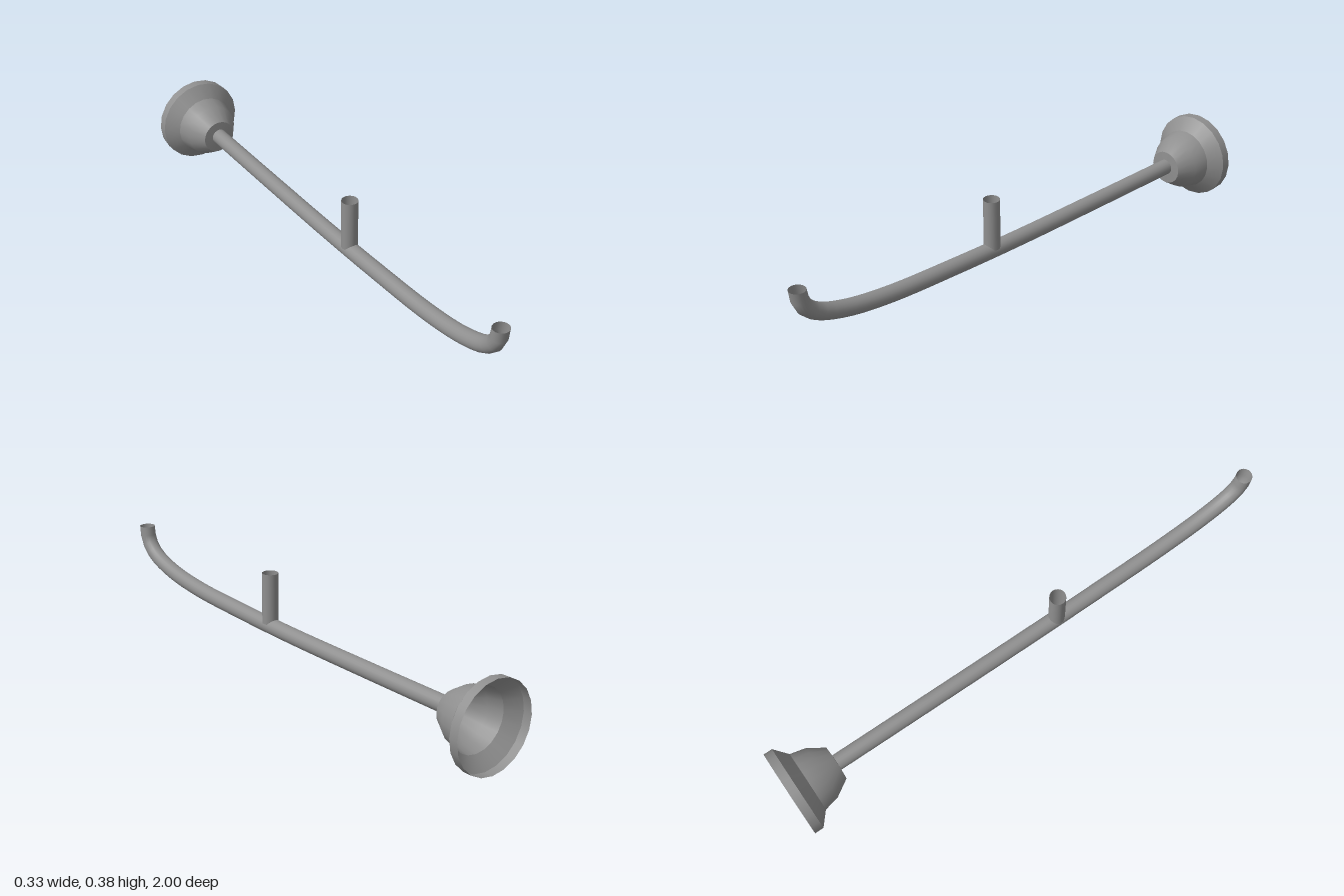
import * as THREE from 'three';

export function createModel() {
  const group = new THREE.Group();
  const metal = new THREE.MeshStandardMaterial({ color: 0x8f8f8f, side: THREE.DoubleSide });
  metal.name = 'grey metal';
  const add = (name, geometry, y = 0, z = 0) => {
    const mesh = new THREE.Mesh(geometry, metal);
    mesh.name = name;
    mesh.position.set(0, y, z);
    group.add(mesh);
  };
  const axisY = 0.165, radius = 0.03;

  // Long open pipe, straight at the wall and curling up at the free end
  const path = new THREE.CatmullRomCurve3([
    [0.168, -0.82], [0.168, -0.4], [0.17, 0], [0.178, 0.3], [0.195, 0.62],
    [0.224, 0.8], [0.265, 0.91], [0.312, 0.957], [0.37, 0.969],
  ].map(([y, z]) => new THREE.Vector3(0, y, z)));
  const pipe = new THREE.TubeGeometry(path, 48, radius, 20, false);
  // Level the mouth of the pipe
  const pos = pipe.attributes.position;
  for (let i = pos.count - 21; i < pos.count; i++) pos.setY(i, 0.37);
  add('pipe', pipe);

  // Upright open branch
  add('branch', new THREE.CylinderGeometry(radius, radius, 0.192, 20, 1, true), 0.281, 0.14);

  // Bell-shaped wall flange, open at the back
  const ring = (profile) => new THREE.LatheGeometry(
    profile.map(([r, z]) => new THREE.Vector2(r, z)), 20).rotateX(Math.PI / 2);
  add('flangeRim', ring([[0.164, -1], [0.164, -0.966]]), axisY);
  add('flangeShoulder', ring([[0.164, -0.966], [0.116, -0.925]]), axisY);
  add('flangeBell', ring([[0.116, -0.925], [0.103, -0.868], [0.065, -0.807]]), axisY);
  add('flangeFace', ring([[0.065, -0.807], [0.028, -0.805]]), axisY);
  return group;
}
